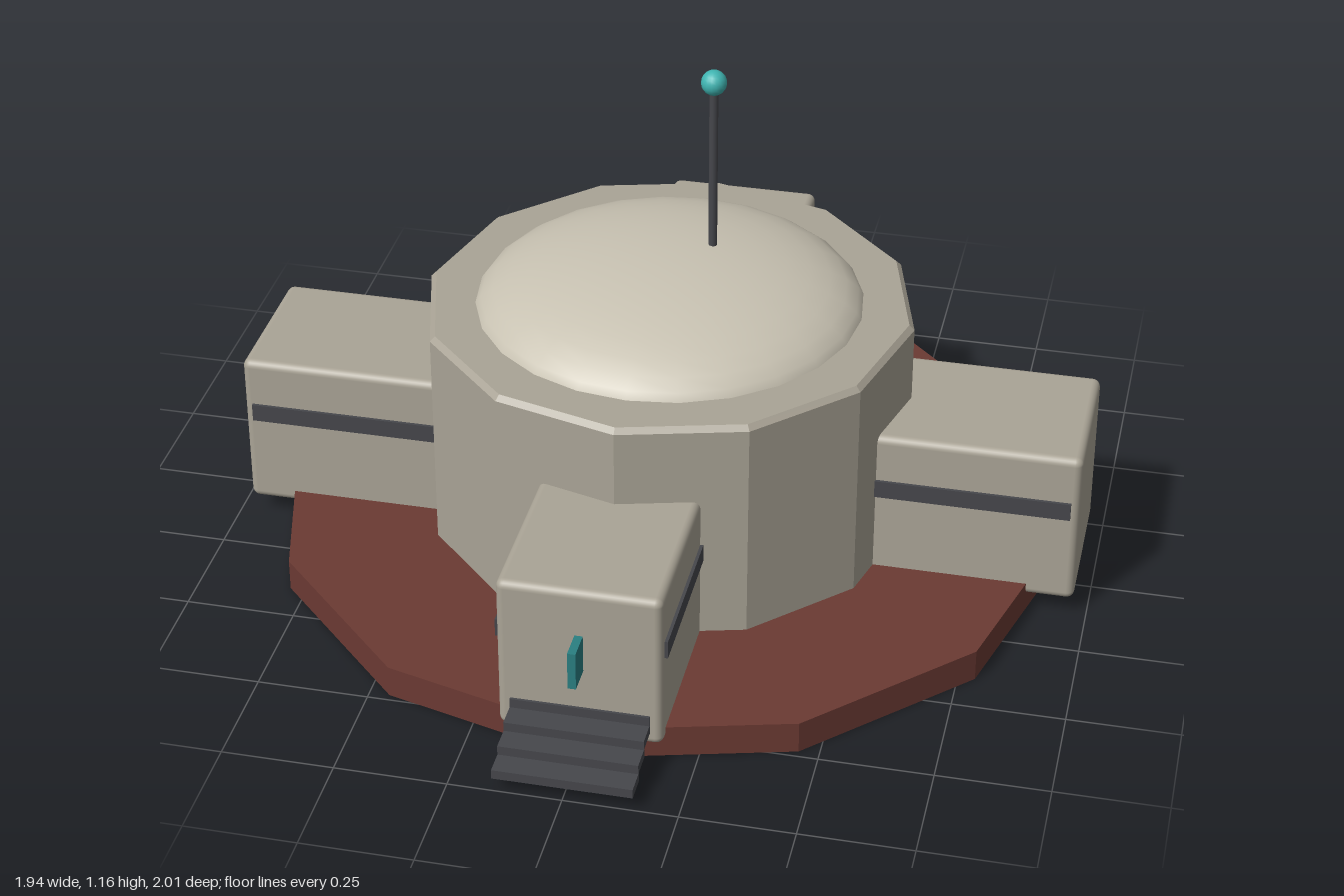
import * as THREE from 'three';
import { RoundedBoxGeometry } from 'three/addons/geometries/RoundedBoxGeometry.js';

const mat = (color, flatShading = false) => {
  const m = new THREE.MeshStandardMaterial({ flatShading });
  m.color.set(color);
  return m;
};

export function createModel() {
  const shell = mat(0xaaa496), hubShell = mat(0xaaa496, true), domeShell = mat(0xc8c2b2);
  const soil = mat(0x6b3a33, true), dark = mat(0x46474c), teal = mat(0x2a7f82);
  const ballTeal = mat(0x40b5b2), copper = mat(0xb5633f, true);

  const model = new THREE.Group();
  const station = new THREE.Group();
  station.name = 'station';
  station.position.z = -0.055;
  model.add(station);

  const add = (parent, name, geometry, material, x = 0, y = 0, z = 0) => {
    const mesh = new THREE.Mesh(geometry, material);
    mesh.name = name;
    mesh.position.set(x, y, z);
    parent.add(mesh);
    return mesh;
  };

  // Twelve-sided ground pad
  add(station, 'groundPad', new THREE.CylinderGeometry(0.91, 0.91, 0.075, 12), soil, 0, 0.0375, 0);

  // Twelve-sided hub with a narrow chamfer at the rim
  const hubProfile = [[0, 0.06], [0.56, 0.06], [0.56, 0.598], [0.548, 0.61], [0, 0.61]];
  add(station, 'hub', new THREE.LatheGeometry(hubProfile.map(p => new THREE.Vector2(...p)), 12), hubShell);

  // Shallow dome on the roof
  const dome = add(station, 'dome',
    new THREE.SphereGeometry(0.45, 24, 10, 0, Math.PI * 2, 0, Math.PI / 2), domeShell, 0, 0.58, 0);
  dome.scale.y = 0.15 / 0.45;

  // Four modules, each built along +z and turned into place
  const modules = [
    { name: 'frontModule', end: 0.89, turn: 0, fin: true },
    { name: 'leftModule', end: 0.97, turn: Math.PI / 2 },
    { name: 'backModule', end: 0.89, turn: Math.PI, fin: true },
    { name: 'rightModule', end: 0.97, turn: -Math.PI / 2 },
  ];
  for (const { name, end, turn, fin } of modules) {
    const wing = new THREE.Group();
    wing.name = name;
    wing.rotation.y = turn;
    station.add(wing);
    const start = 0.42, length = end - start;
    add(wing, 'moduleBody', new RoundedBoxGeometry(0.36, 0.375, length, 3, 0.018), shell,
      0, 0.2325, start + length / 2);
    for (const side of [-1, 1]) {
      add(wing, 'sideStripe', new THREE.BoxGeometry(0.012, 0.042, length - 0.02), dark,
        side * 0.181, 0.286, start + length / 2 - 0.01);
    }
    if (fin) add(wing, 'endFin', new THREE.BoxGeometry(0.018, 0.09, 0.13), teal, 0, 0.263, 0.89);
  }

  // Entry steps climbing to the front module
  for (let i = 0; i < 4; i++) {
    add(station, 'step', new THREE.BoxGeometry(0.305, 0.022, 0.06), dark,
      0, 0.043 + i * 0.0225, 1.025 - i * 0.053);
  }

  // Copper tanks beside the hub
  for (const side of [-1, 1]) {
    const tank = add(station, 'tank', new THREE.CylinderGeometry(0.07, 0.07, 0.24, 14), copper,
      side * 0.46, 0.142, -0.265);
    tank.rotation.z = Math.PI / 2;
  }

  // Antenna with its beacon
  add(station, 'antennaMast', new THREE.CylinderGeometry(0.01, 0.01, 0.44, 10), dark, 0.085, 0.91, -0.063);
  add(station, 'antennaBeacon', new THREE.SphereGeometry(0.029, 16, 12), ballTeal, 0.085, 1.135, -0.063);

  return model;
}
